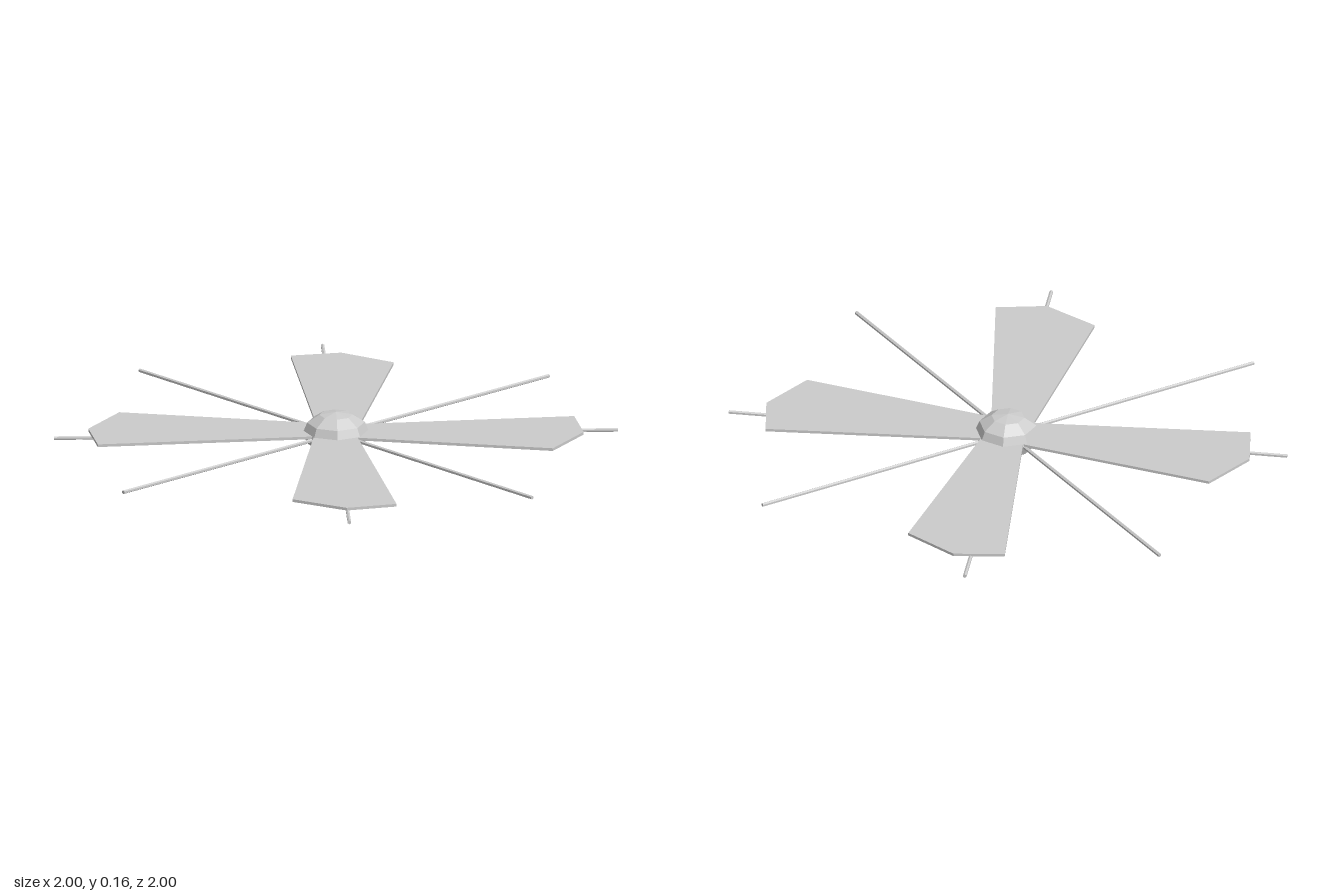
import * as THREE from 'three';

const DEG = Math.PI / 180;
const material = new THREE.MeshStandardMaterial({ color: 0xcccccc, flatShading: true });

// Flat blade whose root sits at the hub and whose tip points to -z
function bladeGeometry() {
  const outline = [[-0.065, -0.06], [-0.12, -0.85], [0.06, -0.875], [0.24, -0.757], [0.085, -0.06]];
  const shape = new THREE.Shape(outline.map(([x, z]) => new THREE.Vector2(x, -z)));
  const geometry = new THREE.ExtrudeGeometry(shape, { depth: 0.01, bevelEnabled: false });
  return geometry.rotateX(-Math.PI / 2);
}

// Thin spoke running from the hub centre outwards along -z
function spokeGeometry() {
  return new THREE.CylinderGeometry(0.007, 0.007, 1, 6).rotateX(Math.PI / 2).translate(0, 0, -0.5);
}

export function createModel() {
  const model = new THREE.Group();
  model.name = 'rotor';
  const add = (name, geometry, y, turn = 0) => {
    const mesh = new THREE.Mesh(geometry, material);
    mesh.name = name;
    mesh.position.y = y;
    mesh.rotation.y = turn * DEG;
    model.add(mesh);
    return mesh;
  };

  // Flattened faceted hub
  add('hub', new THREE.SphereGeometry(0.118, 8, 6).scale(1, 0.0775 / 0.118, 1), 0.0775);

  // Four blades, the front one turned slightly off the square
  const blade = bladeGeometry();
  [0, 90, 183.7, 270].forEach((turn) => add('blade', blade, 0.076, turn));

  // Four spokes under the blades and four between them
  const spoke = spokeGeometry();
  [0, 41.3, 90, 128.4, 180, 221.3, 270, 308.4].forEach((turn) => add('spoke', spoke, 0.072, turn));

  return model;
}
